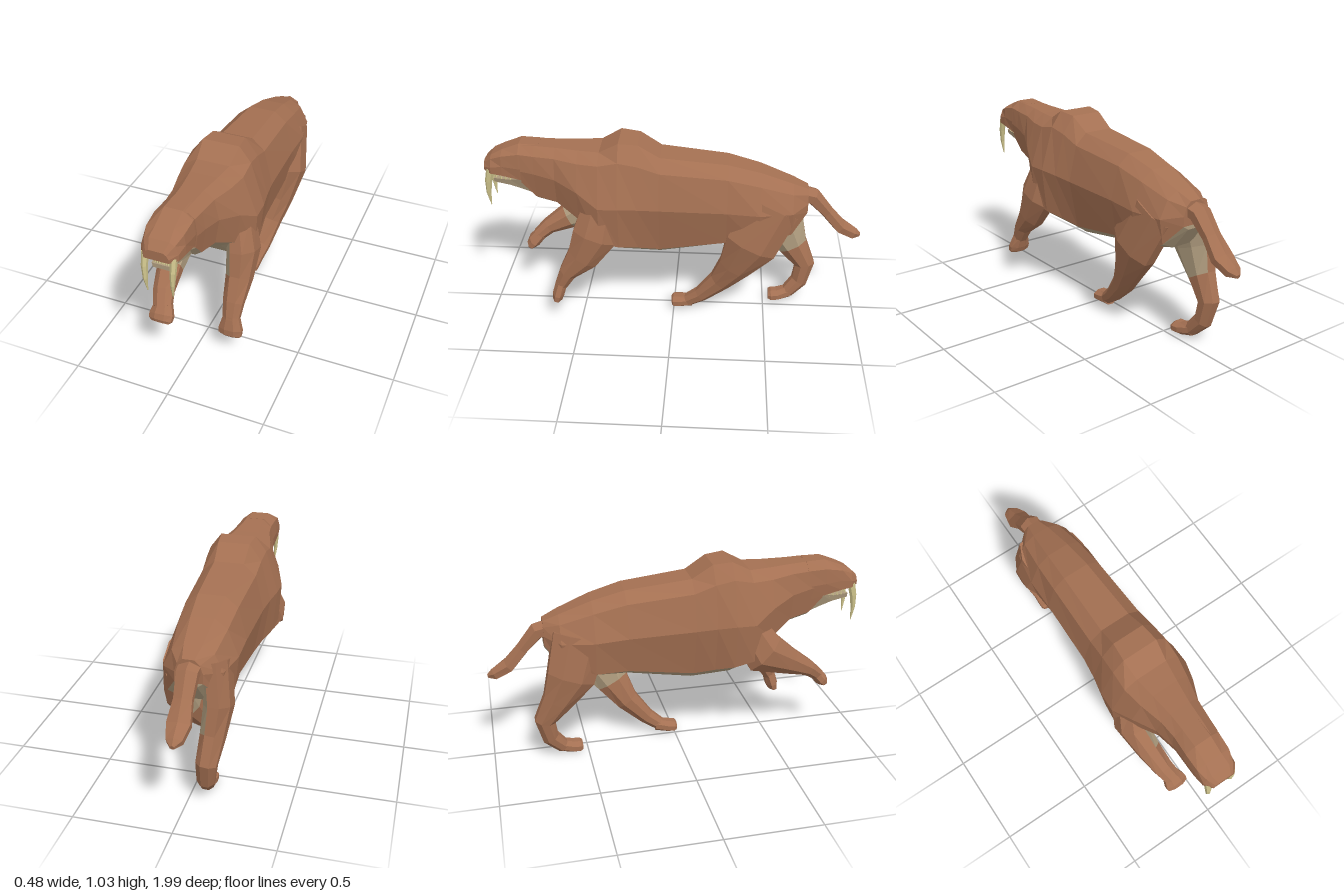
import * as THREE from 'three';

const V = (x, y, z) => new THREE.Vector3(x, y, z);
const material = (color) => new THREE.MeshStandardMaterial({ color, flatShading: true, side: THREE.DoubleSide });

// Skins a list of rings; open strips leave one side of the ring unskinned.
function loft(name, rings, mat, closed = true) {
  const pos = [];
  const tri = (...p) => p.forEach((v) => pos.push(v.x, v.y, v.z));
  const n = rings[0].length;
  for (let r = 0; r < rings.length - 1; r++) {
    const p = rings[r], q = rings[r + 1];
    for (let i = 0; i < (closed ? n : n - 1); i++) {
      const j = (i + 1) % n;
      tri(p[i], p[j], q[j]);
      tri(p[i], q[j], q[i]);
    }
  }
  [rings[0], rings[rings.length - 1]].forEach((ring, end) => {
    const c = ring.reduce((s, v) => s.add(v), V(0, 0, 0)).divideScalar(n);
    for (let i = 0; i < n; i++) {
      const a = ring[i], b = ring[(i + 1) % n];
      end ? tri(c, a, b) : tri(c, b, a);
    }
  });
  const g = new THREE.BufferGeometry();
  g.setAttribute('position', new THREE.Float32BufferAttribute(pos, 3));
  g.computeVertexNormals();
  const mesh = new THREE.Mesh(g, mat);
  mesh.name = name;
  return mesh;
}

// Mirrored ring about cx at depth z from height, half width pairs, top to bottom.
function mirroredRing(cx, [z, ...v]) {
  const half = [];
  for (let i = 0; i < v.length; i += 2) half.push([v[i], v[i + 1]]);
  return [
    ...half.map(([y, w]) => V(cx + w, y, z)),
    ...half.reverse().map(([y, w]) => V(cx - w, y, z)),
  ];
}

// Elliptical rings across a path of [x, y, z, half width, half depth].
function pathRings(path, sides) {
  const p = path.map((a) => V(a[0], a[1], a[2]));
  return path.map(([, , , rx, rd], i) => {
    const d = p[Math.min(i + 1, p.length - 1)].clone().sub(p[Math.max(i - 1, 0)]).normalize();
    const b = d.clone().cross(V(1, 0, 0)).normalize();
    const a = b.clone().cross(d);
    return Array.from({ length: sides }, (_, k) => {
      const t = ((k + 0.5) / sides) * Math.PI * 2;
      return p[i].clone().addScaledVector(a, Math.cos(t) * rx).addScaledVector(b, Math.sin(t) * rd);
    });
  });
}

export function createModel() {
  const model = new THREE.Group();
  model.name = 'sabreToothedCat';
  const fur = material(0xa47052);
  const pale = material(0xaf9c7e);
  const ivory = material(0xcfc48c);

  // Trunk and neck: brown back and flanks over a pale underside
  const trunk = [
    [0.79, 0.985, 0.045, 0.95, 0.09, 0.86, 0.1, 0.79, 0.09, 0.76, 0.05],
    [0.72, 0.985, 0.05, 0.945, 0.095, 0.85, 0.108, 0.71, 0.085, 0.685, 0.05],
    [0.61, 0.98, 0.055, 0.94, 0.105, 0.83, 0.128, 0.69, 0.105, 0.66, 0.06],
    [0.49, 0.975, 0.07, 0.93, 0.135, 0.79, 0.185, 0.62, 0.16, 0.575, 0.08],
    [0.38, 0.975, 0.085, 0.93, 0.155, 0.72, 0.228, 0.51, 0.215, 0.45, 0.09],
    [0.28, 1.03, 0.095, 0.95, 0.155, 0.72, 0.225, 0.48, 0.2, 0.41, 0.09],
    [0.18, 1.02, 0.085, 0.93, 0.15, 0.71, 0.205, 0.46, 0.165, 0.405, 0.09],
    [0.07, 0.95, 0.08, 0.89, 0.145, 0.7, 0.19, 0.44, 0.14, 0.395, 0.08],
    [-0.28, 0.915, 0.07, 0.86, 0.135, 0.69, 0.18, 0.495, 0.145, 0.455, 0.08],
    [-0.45, 0.87, 0.06, 0.82, 0.125, 0.68, 0.18, 0.5, 0.16, 0.47, 0.07],
    [-0.62, 0.805, 0.045, 0.77, 0.105, 0.68, 0.15, 0.55, 0.13, 0.52, 0.06],
    [-0.7, 0.77, 0.03, 0.745, 0.055, 0.7, 0.07, 0.65, 0.07, 0.63, 0.04],
  ].map((r) => mirroredRing(-0.005, r));
  model.add(loft('backAndFlanks', trunk.map((r) => [...r.slice(6), ...r.slice(0, 4)]), fur, false));
  model.add(loft('underside', trunk.map((r) => r.slice(3, 7)), pale, false));

  // Head
  const hx = -0.012;
  model.add(loft('skull', [
    [0.99, 0.89, 0.035, 0.88, 0.05, 0.86, 0.062, 0.84, 0.06],
    [0.95, 0.925, 0.05, 0.91, 0.075, 0.87, 0.092, 0.835, 0.092],
    [0.89, 0.955, 0.045, 0.935, 0.092, 0.88, 0.098, 0.828, 0.098],
    [0.8, 0.99, 0.045, 0.95, 0.095, 0.87, 0.102, 0.805, 0.095],
    [0.7, 0.985, 0.045, 0.945, 0.09, 0.86, 0.1, 0.78, 0.09],
  ].map((r) => mirroredRing(hx, r)), fur));
  model.add(loft('lowerJaw', [
    [0.95, 0.785, 0.045, 0.762, 0.04],
    [0.86, 0.785, 0.06, 0.75, 0.052],
    [0.78, 0.805, 0.08, 0.725, 0.055],
    [0.7, 0.8, 0.08, 0.69, 0.05],
  ].map((r) => mirroredRing(hx, r)), pale));

  // Long curved canines and small teeth
  for (const s of [-1, 1]) {
    const x = hx + s * 0.07;
    model.add(loft(s > 0 ? 'leftSabre' : 'rightSabre', pathRings([
      [x, 0.85, 0.955, 0.017, 0.022],
      [x, 0.78, 0.972, 0.015, 0.019],
      [x - s * 0.003, 0.71, 0.978, 0.011, 0.013],
      [x - s * 0.007, 0.635, 0.972, 0.002, 0.002],
    ], 6), ivory));
  }
  const tooth = (x, y, z, up) => {
    const m = new THREE.Mesh(new THREE.ConeGeometry(0.006, 0.028, 4), ivory);
    m.position.set(x, y, z);
    if (!up) m.rotation.x = Math.PI;
    m.name = up ? 'lowerTooth' : 'upperTooth';
    model.add(m);
  };
  for (let i = -3; i <= 3; i++) {
    tooth(hx + i * 0.012, 0.826, 0.97, false);
    tooth(hx + i * 0.011, 0.795, 0.94, true);
  }
  for (const s of [-1, 1])
    for (let i = 0; i < 4; i++) tooth(hx + s * (0.048 + i * 0.004), 0.797, 0.91 - i * 0.025, true);

  // Legs: pale on the inner face of the upper part, ending in a blunt paw
  function leg(name, path, paw) {
    const g = new THREE.Group();
    g.name = name;
    const rings = pathRings(path, 8);
    const start = path[0][0] > 0 ? 2 : 6;
    const turned = rings.map((r) => [...r.slice(start), ...r.slice(0, start)]);
    g.add(loft('outerLeg', turned.map((r) => [...r.slice(3), r[0]]), fur, false));
    g.add(loft('innerThigh', turned.slice(0, 3).map((r) => r.slice(0, 4)), pale, false));
    g.add(loft('innerShank', turned.slice(2).map((r) => r.slice(0, 4)), fur, false));
    g.add(loft('paw', pathRings(paw, 8), fur));
    model.add(g);
  }
  leg('leftFrontLeg', [
    [0.13, 0.7, 0.37, 0.07, 0.1],
    [0.165, 0.53, 0.41, 0.08, 0.125],
    [0.17, 0.4, 0.48, 0.068, 0.09],
    [0.172, 0.3, 0.565, 0.056, 0.05],
    [0.175, 0.22, 0.605, 0.045, 0.036],
  ], [
    [0.175, 0.24, 0.6, 0.044, 0.034],
    [0.178, 0.17, 0.62, 0.066, 0.034],
    [0.178, 0.14, 0.627, 0.064, 0.028],
    [0.178, 0.13, 0.629, 0.05, 0.016],
  ]);
  leg('rightFrontLeg', [
    [-0.13, 0.68, 0.36, 0.07, 0.1],
    [-0.165, 0.53, 0.45, 0.08, 0.125],
    [-0.152, 0.46, 0.6, 0.066, 0.075],
    [-0.135, 0.4, 0.715, 0.055, 0.045],
    [-0.115, 0.35, 0.775, 0.05, 0.036],
  ], [
    [-0.115, 0.36, 0.76, 0.048, 0.034],
    [-0.11, 0.32, 0.798, 0.066, 0.038],
    [-0.11, 0.3, 0.815, 0.064, 0.03],
    [-0.11, 0.29, 0.822, 0.05, 0.016],
  ]);
  leg('leftHindLeg', [
    [0.095, 0.7, -0.52, 0.07, 0.15],
    [0.13, 0.48, -0.41, 0.074, 0.15],
    [0.1, 0.325, -0.33, 0.064, 0.095],
    [0.07, 0.21, -0.255, 0.058, 0.065],
    [0.055, 0.1, -0.15, 0.046, 0.044],
    [0.042, 0.05, -0.08, 0.04, 0.036],
  ], [
    [0.042, 0.05, -0.1, 0.04, 0.036],
    [0.032, 0.04, -0.03, 0.052, 0.034],
    [0.03, 0.038, 0, 0.052, 0.032],
    [0.03, 0.036, 0.01, 0.042, 0.022],
  ]);
  leg('rightHindLeg', [
    [-0.095, 0.7, -0.52, 0.07, 0.15],
    [-0.12, 0.48, -0.58, 0.072, 0.135],
    [-0.108, 0.345, -0.655, 0.064, 0.085],
    [-0.095, 0.23, -0.725, 0.056, 0.058],
    [-0.085, 0.12, -0.7, 0.048, 0.048],
    [-0.07, 0.05, -0.635, 0.042, 0.038],
  ], [
    [-0.07, 0.055, -0.645, 0.04, 0.036],
    [-0.062, 0.038, -0.58, 0.052, 0.034],
    [-0.06, 0.036, -0.545, 0.052, 0.034],
    [-0.06, 0.036, -0.53, 0.042, 0.024],
  ]);

  // Tail
  model.add(loft('tail', pathRings([
    [-0.01, 0.73, -0.64, 0.065, 0.045],
    [-0.01, 0.71, -0.73, 0.06, 0.045],
    [-0.012, 0.62, -0.81, 0.052, 0.034],
    [-0.012, 0.535, -0.885, 0.066, 0.036],
    [-0.012, 0.49, -0.96, 0.045, 0.032],
    [-0.012, 0.48, -0.995, 0.012, 0.012],
  ], 6), fur));

  return model;
}
